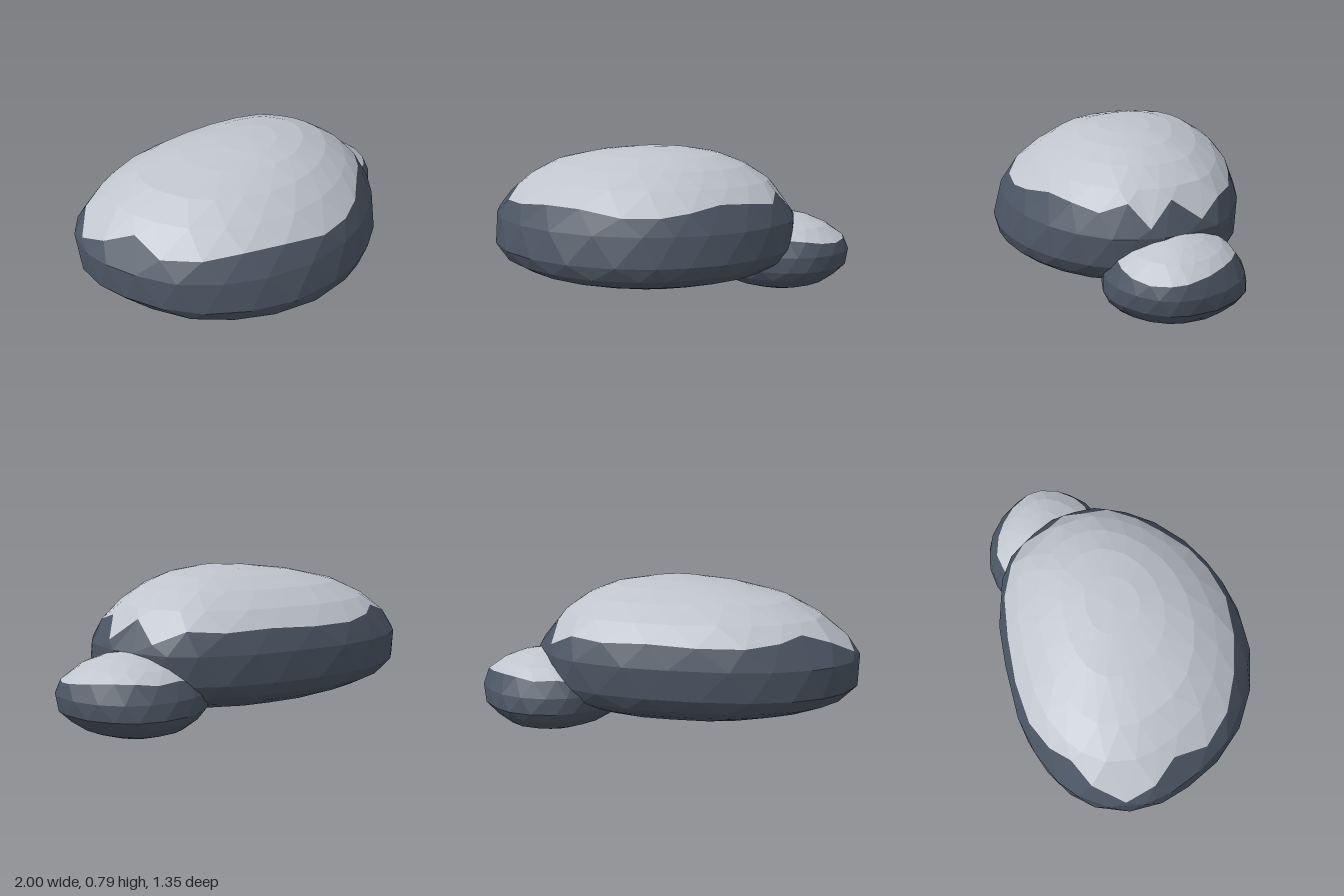
import * as THREE from 'three';

const stone = new THREE.MeshStandardMaterial({ color: 0x4a5462, flatShading: true });
stone.name = 'slate stone';
const cap = new THREE.MeshStandardMaterial({ color: 0xbfc4cd, flatShading: true });
cap.name = 'pale cap';

// Plan outlines as [x, z], running left tip, back, right, front
const bigOutline = [
  [-1, -.1], [-.97, -.3], [-.88, -.44], [-.78, -.53], [-.6, -.62], [-.4, -.67], [-.1, -.68],
  [.13, -.67], [.4, -.6], [.53, -.52], [.64, -.36], [.7, -.24], [.72, -.1], [.72, .02],
  [.65, .2], [.55, .35], [.4, .49], [.25, .58], [.1, .64], [-.15, .68], [-.4, .64],
  [-.6, .55], [-.78, .41], [-.9, .22], [-.97, .05],
];
const smallOutline = [
  [.2, -.31], [.23, -.43], [.3, -.53], [.39, -.61], [.47, -.65], [.6, -.67], [.73, -.65],
  [.83, -.59], [.93, -.49], [.99, -.36], [1, -.27], [.97, -.16], [.9, -.06], [.82, .01],
  [.72, .045], [.58, .055], [.43, .02], [.31, -.06], [.23, -.18],
];

// Levels as [y, xMin, xMax, zMin, zMax], bottom to top
const bigLevels = [
  [.07, -.15, -.15, -.07, -.07], [.083, -.5, .2, -.35, .22], [.11, -.64, .45, -.47, .45],
  [.155, -.82, .6, -.57, .6], [.2, -.93, .67, -.64, .66], [.27, -1, .72, -.68, .68],
  [.42, -1, .72, -.68, .635], [.525, -.925, .665, -.64, .57], [.62, -.8, .57, -.56, .46],
  [.7, -.64, .45, -.45, .34], [.755, -.4, .31, -.32, .2], [.782, -.18, .14, -.2, .08],
  [.79, -.03, -.03, -.06, -.06],
];
const smallLevels = [
  [0, .6, .6, -.31, -.31], [.018, .43, .78, -.48, -.13], [.055, .33, .88, -.59, -.01],
  [.1, .26, .94, -.64, .035], [.15, .22, .99, -.67, .055], [.23, .2, 1, -.655, .045],
  [.3, .25, .97, -.615, 0], [.36, .33, .88, -.54, -.08], [.4, .43, .78, -.45, -.18],
  [.42, .53, .68, -.37, -.27], [.425, .6, .6, -.32, -.32],
];

// Wavy edge of the pale cap: offset in levels at each outline point
const bigEdge = [-.7, 0, .5, .2, 0, 0, .1, 0, .1, -.55, .5, -.6, .45, 0, .2, .3, 0, -.2, -.2, .1, .1, -.1, -.2, .4, -.2];
const smallEdge = [0, .2, .1, 0, .2, .1, .3, .3, .2, 0, -.1, -.2, -.1, .1, .2, 0, 0, .1, 0];

function makeGeometry(triangles) {
  const positions = triangles.flatMap((p) => [p.x, p.y, p.z]);
  const geometry = new THREE.BufferGeometry();
  geometry.setAttribute('position', new THREE.Float32BufferAttribute(positions, 3));
  geometry.computeVertexNormals();
  return geometry;
}

// Stack staggered rings of the outline, scaled to fit each level
function makeRock(name, outline, levels, capLevel, edge) {
  const n = outline.length;
  const curve = new THREE.CatmullRomCurve3(outline.map(([x, z]) => new THREE.Vector3(x, 0, z)), true);
  const box = new THREE.Box3().setFromPoints(curve.points);
  const size = box.getSize(new THREE.Vector3());

  const rings = levels.map((_, r) => Array.from({ length: n }, (_, i) => {
    const p = curve.getPoint(((i + (r % 2) * .5) / n) % 1);
    const t = r === capLevel ? r + edge[i] : r;
    const low = Math.min(Math.floor(t), levels.length - 2);
    const [y, x0, x1, z0, z1] = levels[low].map((v, k) => THREE.MathUtils.lerp(v, levels[low + 1][k], t - low));
    return new THREE.Vector3(
      THREE.MathUtils.lerp(x0, x1, (p.x - box.min.x) / size.x),
      y,
      THREE.MathUtils.lerp(z0, z1, (p.z - box.min.z) / size.z),
    );
  }));

  const stoneTriangles = [];
  const capTriangles = [];
  for (let r = 0; r < rings.length - 1; r++) {
    const target = r < capLevel ? stoneTriangles : capTriangles;
    const a = rings[r];
    const b = rings[r + 1];
    for (let i = 0; i < n; i++) {
      const j = (i + 1) % n;
      const staggered = r % 2 === 1;
      if (r > 0) target.push(a[j], a[i], staggered ? b[j] : b[i]);
      if (r < rings.length - 2) target.push(b[i], b[j], staggered ? a[i] : a[j]);
    }
  }

  const group = new THREE.Group();
  group.name = name;
  const body = new THREE.Mesh(makeGeometry(stoneTriangles), stone);
  body.name = name + 'Body';
  const top = new THREE.Mesh(makeGeometry(capTriangles), cap);
  top.name = name + 'Cap';
  group.add(body, top);
  return group;
}

export function createModel() {
  const model = new THREE.Group();
  model.name = 'rocks';
  model.add(
    makeRock('largeRock', bigOutline, bigLevels, 7, bigEdge),
    makeRock('smallRock', smallOutline, smallLevels, 6, smallEdge),
  );
  return model;
}
